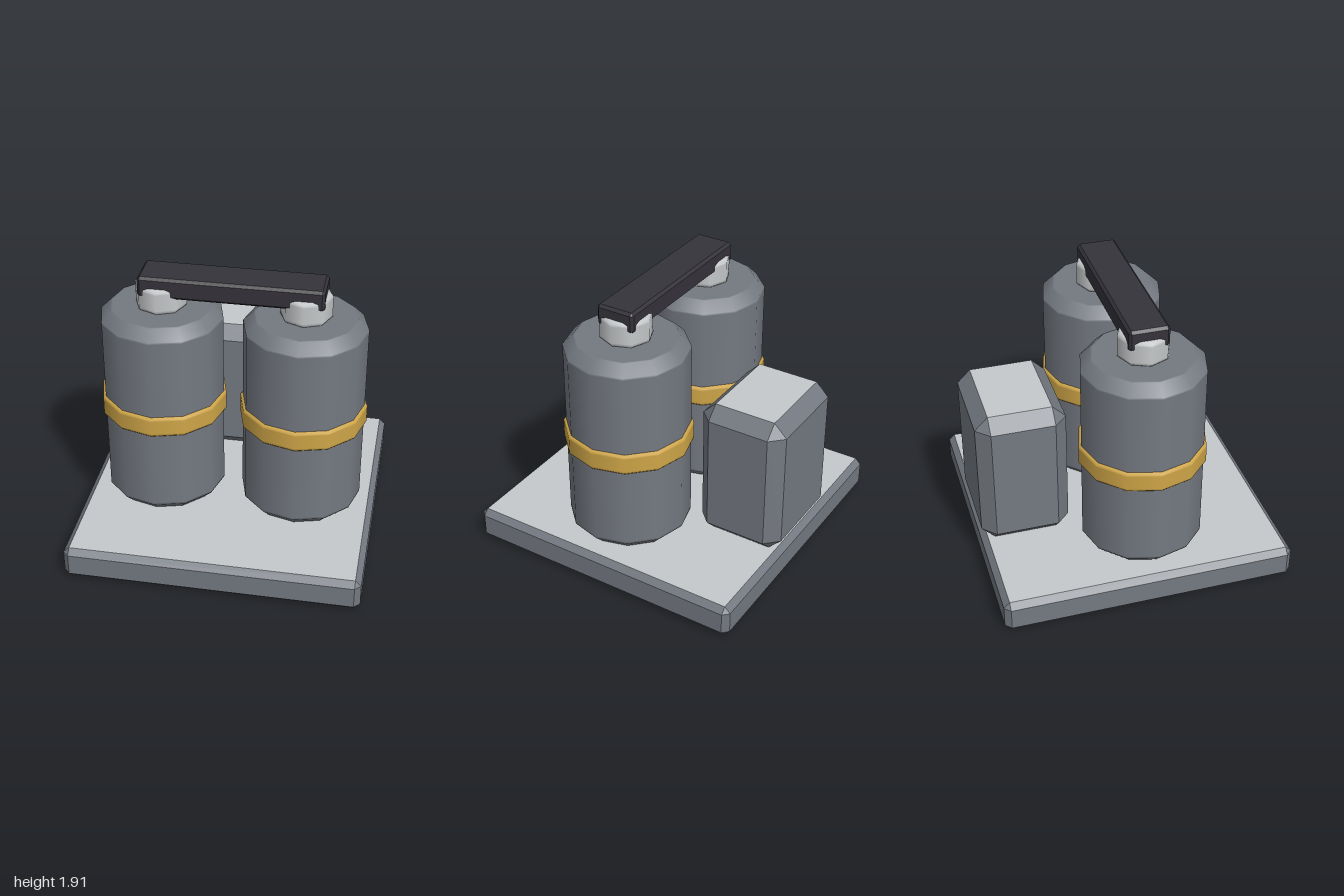
import * as THREE from 'three';
import { ConvexGeometry } from 'three/addons/geometries/ConvexGeometry.js';

const paint = (name, color) => {
  const m = new THREE.MeshStandardMaterial({ color });
  m.name = name;
  return m;
};

// Box with every edge cut at 45 degrees; group 0 = sides, group 1 = flat top and bottom
function chamferBox(w, h, d, c) {
  const pts = [];
  for (const sx of [-1, 1]) for (const sy of [-1, 1]) for (const sz of [-1, 1]) {
    for (let axis = 0; axis < 3; axis++) {
      const [x, y, z] = [w, h, d].map((s, i) => s / 2 - (i === axis ? 0 : c));
      pts.push(new THREE.Vector3(sx * x, sy * y, sz * z));
    }
  }
  const geo = new ConvexGeometry(pts);
  const normal = geo.attributes.normal;
  for (let i = 0; i < normal.count; i += 3) {
    geo.addGroup(i, 3, Math.abs(normal.getY(i)) > 0.99 ? 1 : 0);
  }
  return geo;
}

// Closed turned solid with chamfered rims; extra rings keep the shading tight at the edges
function turned(r, y0, y1, cr, cy, sides) {
  const e = Math.min(0.015, cy);
  const pts = [
    [0, y0], [r - cr - e, y0], [r - cr, y0], [r, y0 + cy], [r, y0 + cy + e],
    [r, y1 - cy - e], [r, y1 - cy], [r - cr, y1], [r - cr - e, y1], [0, y1],
  ].map(([x, y]) => new THREE.Vector2(x, y));
  return new THREE.LatheGeometry(pts, sides);
}

export function createModel() {
  const grey = paint('steel grey', 0x747981);
  const light = paint('light grey', 0xc6c9cb);
  const yellow = paint('band yellow', 0xcfa648);
  const black = paint('handle black', 0x35333a);

  const model = new THREE.Group();
  model.name = 'twinTankUnit';
  const add = (name, geo, mat, x, y, z, parent = model) => {
    const mesh = new THREE.Mesh(geo, mat);
    mesh.name = name;
    mesh.position.set(x, y, z);
    parent.add(mesh);
    return mesh;
  };

  // Base slab and the block behind the tanks
  add('base', chamferBox(2, 0.23, 2, 0.04), [grey, light], 0, 0.115, 0);
  add('rearBlock', chamferBox(0.765, 1, 0.61, 0.09), [grey, light], 0, 0.73, -0.695);

  // Two tanks, each with a band and a neck
  for (const side of [-1, 1]) {
    const tank = new THREE.Group();
    tank.name = side > 0 ? 'leftTank' : 'rightTank';
    tank.position.set(side * 0.481, 0, 0.075);
    model.add(tank);
    add('tankBody', turned(0.415, 0.23, 1.657, 0.068, 0.068, 12), grey, 0, 0, 0, tank);
    add('tankBand', turned(0.433, 0.875, 1.02, 0.012, 0.012, 12), yellow, 0, 0, 0, tank);
    add('tankNeck', turned(0.173, 1.655, 1.83, 0.015, 0.015, 8), light, 0, 0, 0, tank);
  }

  // Handle bar joining the necks
  add('handle', chamferBox(1.225, 0.145, 0.27, 0.018), [black, black], 0, 1.833, 0.075);

  return model;
}
